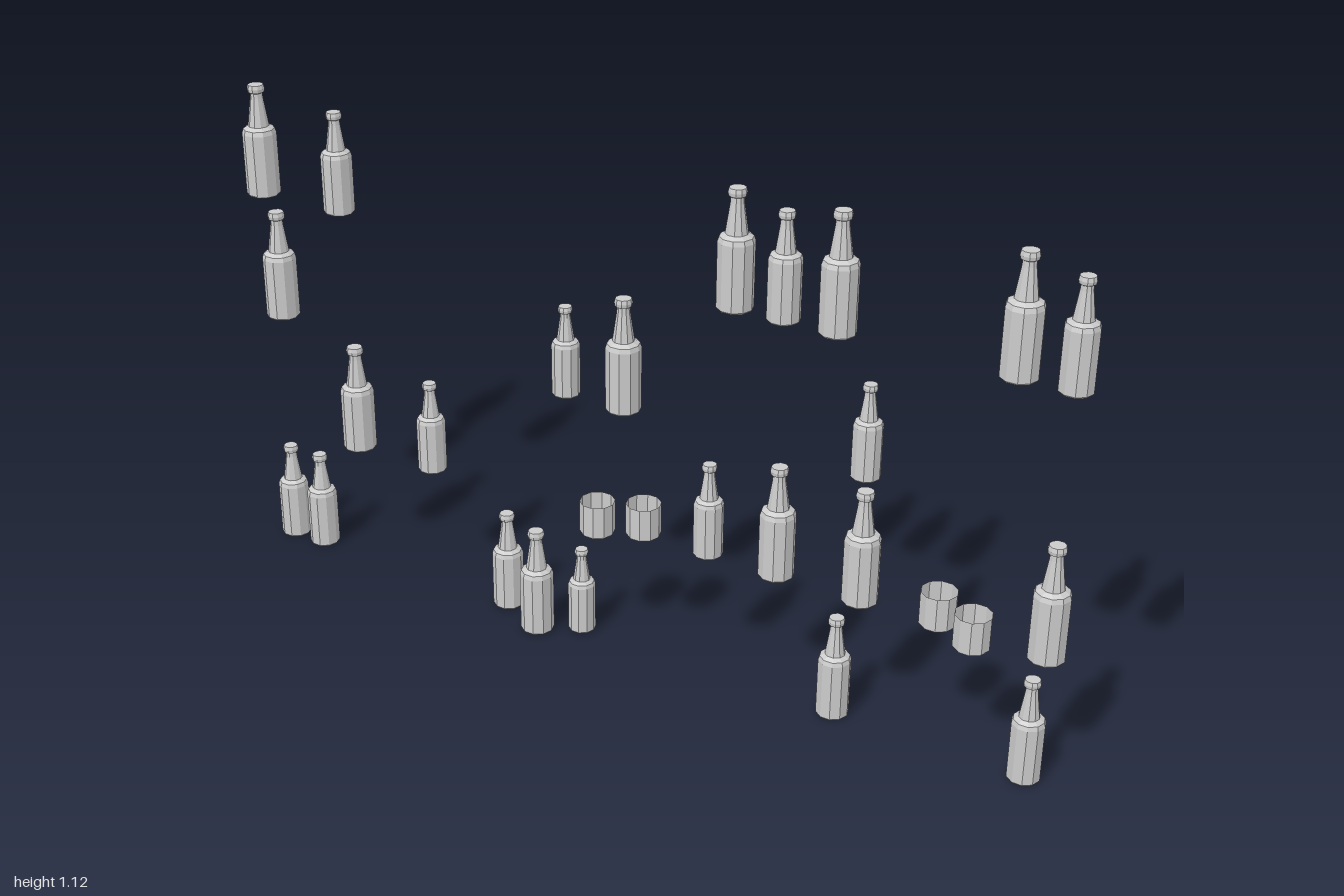
import * as THREE from 'three';

const SIDES = 10;
const grey = new THREE.MeshStandardMaterial({ color: 0xcccccc, flatShading: true });
const greyThin = new THREE.MeshStandardMaterial({ color: 0xcccccc, flatShading: true, side: THREE.DoubleSide });

// Ten-sided turned shape with corners on the x axis
function turned(profile) {
  return new THREE.LatheGeometry(profile.map(([r, y]) => new THREE.Vector2(r, y)), SIDES, Math.PI / 2);
}

// Bottle of unit height: base, body, shoulder, neck, lip
const bottleGeometry = turned([
  [0, 0], [0.138, 0], [0.15, 0.015], [0.15, 0.565], [0.137, 0.605], [0.092, 0.63],
  [0.056, 0.88], [0.053, 0.925], [0.071, 0.935], [0.076, 0.965], [0.068, 1], [0, 1],
]);

// Thin open cup
const cupGeometry = turned([[0, 0], [0.036, 0], [0.0385, 0.004], [0.0385, 0.076]]);

// Each shelf: height, then bottles as [x, height, z]
const Z = -0.022;
const BIG = 0.255, MEDIUM = 0.235, SMALL = 0.204;
const shelves = [
  { y: 0, bottles: [[-0.944, MEDIUM], [-0.856, MEDIUM], [-0.316, MEDIUM], [-0.201, 0.25, 0.031],
    [-0.116, SMALL], [0.512, MEDIUM], [0.942, MEDIUM]] },
  { y: 0.291, bottles: [[-0.728, BIG], [-0.519, 0.217], [0.204, 0.215], [0.367, BIG], [0.56, BIG], [0.963, BIG]] },
  { y: 0.577, bottles: [[-0.933, BIG], [-0.151, SMALL], [-0.007, BIG], [0.557, SMALL]] },
  { y: 0.87, bottles: [[-0.963, BIG], [-0.746, 0.23], [0.253, BIG], [0.362, 0.23], [0.48, BIG],
    [0.854, BIG], [0.965, 0.23]] },
];

// Cups as [x, z], all on the second level
const cups = [[-0.046, 0.021], [0.044, -0.022], [0.73, -0.027], [0.822, 0.016]];

export function createModel() {
  const model = new THREE.Group();
  model.name = 'bottleCollection';

  shelves.forEach(({ y, bottles }, i) => {
    const row = new THREE.Group();
    row.name = `bottleRow${i + 1}`;
    row.position.y = y;
    for (const [x, height, z = Z] of bottles) {
      const bottle = new THREE.Mesh(bottleGeometry, grey);
      bottle.name = 'bottle';
      bottle.position.set(x, 0, z);
      bottle.scale.setScalar(height);
      row.add(bottle);
    }
    model.add(row);
  });

  for (const [x, z] of cups) {
    const cup = new THREE.Mesh(cupGeometry, greyThin);
    cup.name = 'cup';
    cup.position.set(x, 0.291, z);
    model.add(cup);
  }
  return model;
}
